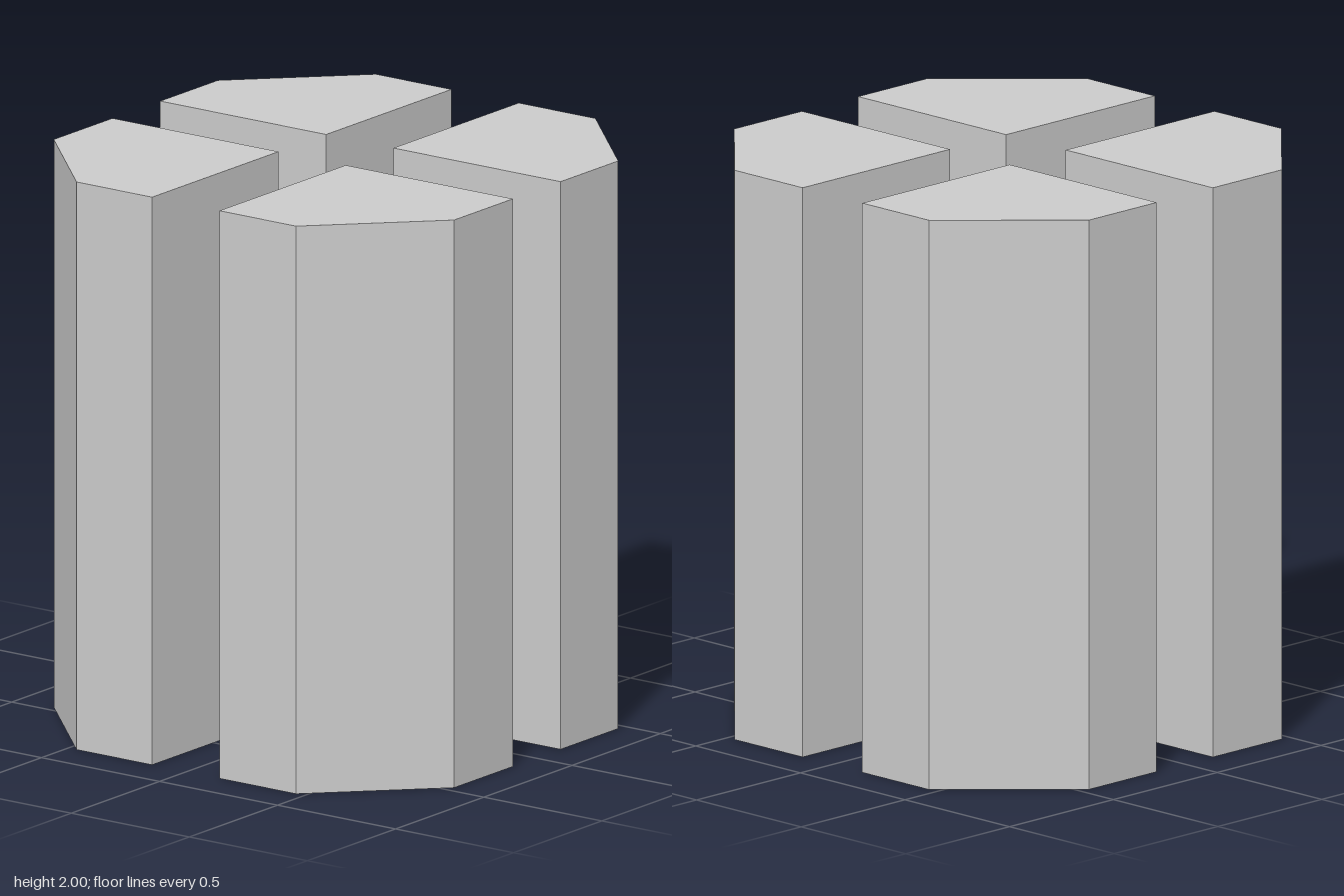
import * as THREE from 'three';

const HEIGHT = 2;
const OUTER = 0.848; // outer flat faces
const CORNER = 0.465; // where the chamfer starts

// One upright post: a square quadrant with its outer corner cut off.
// sx, sz choose the quadrant; ix, iz are the inner face distances.
function createPost(name, sx, sz, ix, iz, material) {
  const outline = [[ix, iz], [OUTER, iz], [OUTER, CORNER], [CORNER, OUTER], [ix, OUTER]];
  const shape = new THREE.Shape(outline.map(([x, z]) => new THREE.Vector2(sx * x, -sz * z)));
  const geometry = new THREE.ExtrudeGeometry(shape, { depth: HEIGHT, bevelEnabled: false });
  geometry.rotateX(-Math.PI / 2); // stand the extrusion upright
  const post = new THREE.Mesh(geometry, material);
  post.name = name;
  return post;
}

export function createModel() {
  const group = new THREE.Group();
  group.name = 'splitOctagonalColumn';
  const material = new THREE.MeshStandardMaterial({ color: 0xcccccc, flatShading: true });

  // Four posts separated by a cross-shaped gap
  for (const [side, sx, ix] of [['Left', 1, 0.14], ['Right', -1, 0.145]]) {
    for (const [end, sz, iz] of [['front', 1, 0.132], ['back', -1, 0.138]]) {
      group.add(createPost(`${end}${side}Post`, sx, sz, ix, iz, material));
    }
  }
  return group;
}
